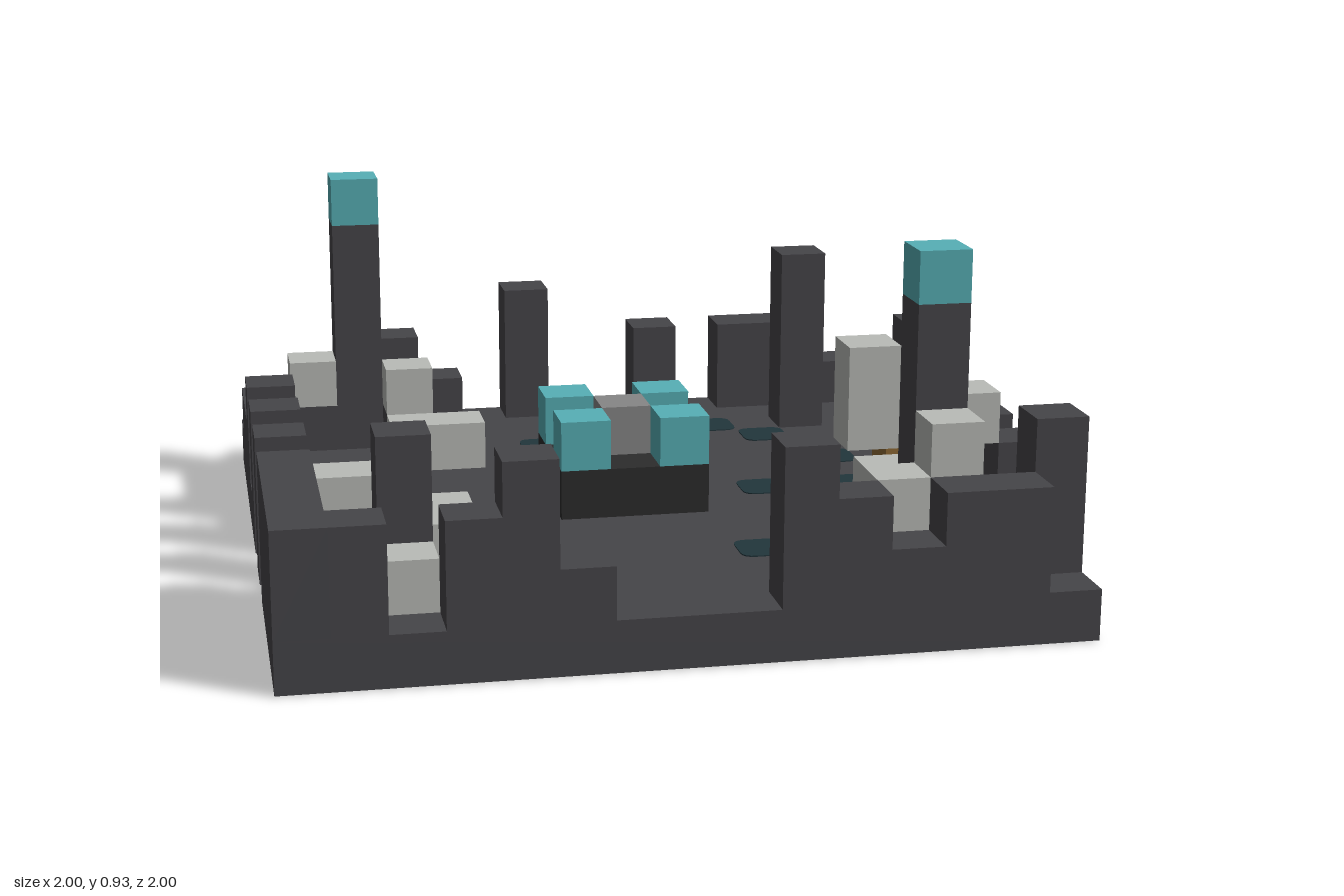
import * as THREE from 'three';

const U = 2 / 15; // one block; the plan is a 15 x 15 grid, column i along x, row j along z
const at = (n) => -1 + n * U;

const paint = (name, color) => {
  const m = new THREE.MeshStandardMaterial({ color });
  m.name = name;
  return m;
};

export function createModel() {
  const stone = paint('dark stone', 0x464549);
  const rubble = paint('pale rubble', 0xbabcb8);
  const glow = paint('teal', 0x57b0b6);
  const soot = paint('black stone', 0x2c2c2c);
  const core = paint('mid grey', 0x878787);
  const wood = paint('amber', 0x8f6a35);
  const moss = paint('deep teal', 0x22363c);

  const model = new THREE.Group();
  model.name = 'ruinedCourtyard';

  const group = (name) => {
    const g = new THREE.Group();
    g.name = name;
    model.add(g);
    return g;
  };

  // Box spanning grid cells, from level y0 up to level y1
  const block = (parent, name, mat, i, j, y0, y1, w = 1, d = 1) => {
    const mesh = new THREE.Mesh(new THREE.BoxGeometry(w * U, (y1 - y0) * U, d * U), mat);
    mesh.position.set(at(i + w / 2), ((y0 + y1) / 2) * U, at(j + d / 2));
    mesh.name = name;
    parent.add(mesh);
  };

  // Horizontal slab cut from a plan shape
  const slab = (parent, name, mat, shape, bottom, top, curveSegments = 4) => {
    const geo = new THREE.ExtrudeGeometry(shape, { depth: top - bottom, bevelEnabled: false, curveSegments });
    geo.rotateX(Math.PI / 2);
    geo.translate(0, top, 0);
    const mesh = new THREE.Mesh(geo, mat);
    mesh.name = name;
    parent.add(mesh);
  };

  // Floor with broken notches in both sides
  const outline = [
    [0, 0], [15, 0], [15, 1], [14, 1], [14, 2], [15, 2], [15, 6], [14, 6], [14, 8], [15, 8], [15, 15],
    [0, 15], [0, 10], [1, 10], [1, 9], [0, 9], [0, 8], [1, 8], [1, 7], [0, 7],
  ].map(([i, j]) => new THREE.Vector2(at(i), at(j)));
  slab(model, 'floor', stone, new THREE.Shape(outline), 0.002, U);

  // Rounded patches set through the floor: column, row, length
  const patches = group('floorPatches');
  for (const [i, j, n] of [[8, 2, 3], [6, 3, 1], [11, 3, 1], [12, 5, 1], [10, 7, 1], [12, 7, 1], [11, 9, 1], [9, 11, 2]]) {
    const x0 = at(i), x1 = at(i + n), z0 = at(j), z1 = at(j + 1), r = 0.035;
    const s = new THREE.Shape();
    s.moveTo(x0 + r, z0);
    s.lineTo(x1 - r, z0);
    s.quadraticCurveTo(x1, z0, x1, z0 + r);
    s.lineTo(x1, z1 - r);
    s.quadraticCurveTo(x1, z1, x1 - r, z1);
    s.lineTo(x0 + r, z1);
    s.quadraticCurveTo(x0, z1, x0, z1 - r);
    s.lineTo(x0, z0 + r);
    s.quadraticCurveTo(x0, z0, x0 + r, z0);
    slab(patches, 'floorPatch', moss, s, 0, U + 0.003);
  }

  // Crumbling outer walls, one height per block; 1 is bare floor
  const walls = {
    backWall: ['121321411313322'.replace('321411313', '321411313'), (n) => [n, 0]],
    frontWall: ['331342111432331', (n) => [n, 14]],
    rightWall: ['122231313133333', (n) => [0, n]],
    leftWall: ['212134112323141', (n) => [14, n]],
  };
  for (const [name, [heights, cell]] of Object.entries(walls)) {
    const g = group(name);
    const along = name === 'backWall' || name === 'frontWall';
    [...heights].forEach((h, n) => {
      if (+h > 1 && (along || (n > 0 && n < 14))) block(g, 'wallBlock', stone, ...cell(n), 1, +h);
    });
  }

  // Free-standing pillars; two carry a glowing cap
  const pillars = group('pillars');
  for (const [i, j, h] of [[2, 2, 6], [12, 12, 6], [12, 2, 5], [2, 12, 4], [1, 2, 2], [3, 3, 2]]) {
    block(pillars, 'pillar', stone, i, j, 1, h);
    if (h === 6) block(pillars, 'pillarCap', glow, i, j, 6, 7);
  }

  // Central altar
  const altar = group('altar');
  block(altar, 'altarBase', soot, 6, 6, 1, 2, 3, 3);
  block(altar, 'altarCore', core, 7, 7, 2, 3);
  for (const i of [6, 8]) for (const j of [6, 8]) block(altar, 'altarCorner', glow, i, j, 2, 3);

  // Fallen pale stones: column, row, bottom, top, width
  const stones = group('rubble');
  for (const [i, j, y0, y1, w] of [
    [2, 1, 1, 2, 1], [1, 2, 2, 3, 1], [3, 3, 2, 3, 1], [3, 4, 1, 2, 2], [8, 4, 1, 2, 1], [12, 9, 1, 2, 1],
    [1, 10, 1, 2, 1], [1, 11, 1, 3, 2], [3, 10, 1, 2, 1], [3, 11, 1, 2, 1], [2, 13, 1, 2, 1],
    [11, 11, 3, 4, 3], [11, 11, 4, 5, 1], [11, 13, 1, 3, 1], [12, 13, 1, 4, 1], [13, 13, 1, 2, 1],
  ]) block(stones, 'rubbleStone', rubble, i, j, y0, y1, w);

  // Wooden chest
  block(model, 'chest', wood, 13, 7, 1, 2);

  return model;
}
